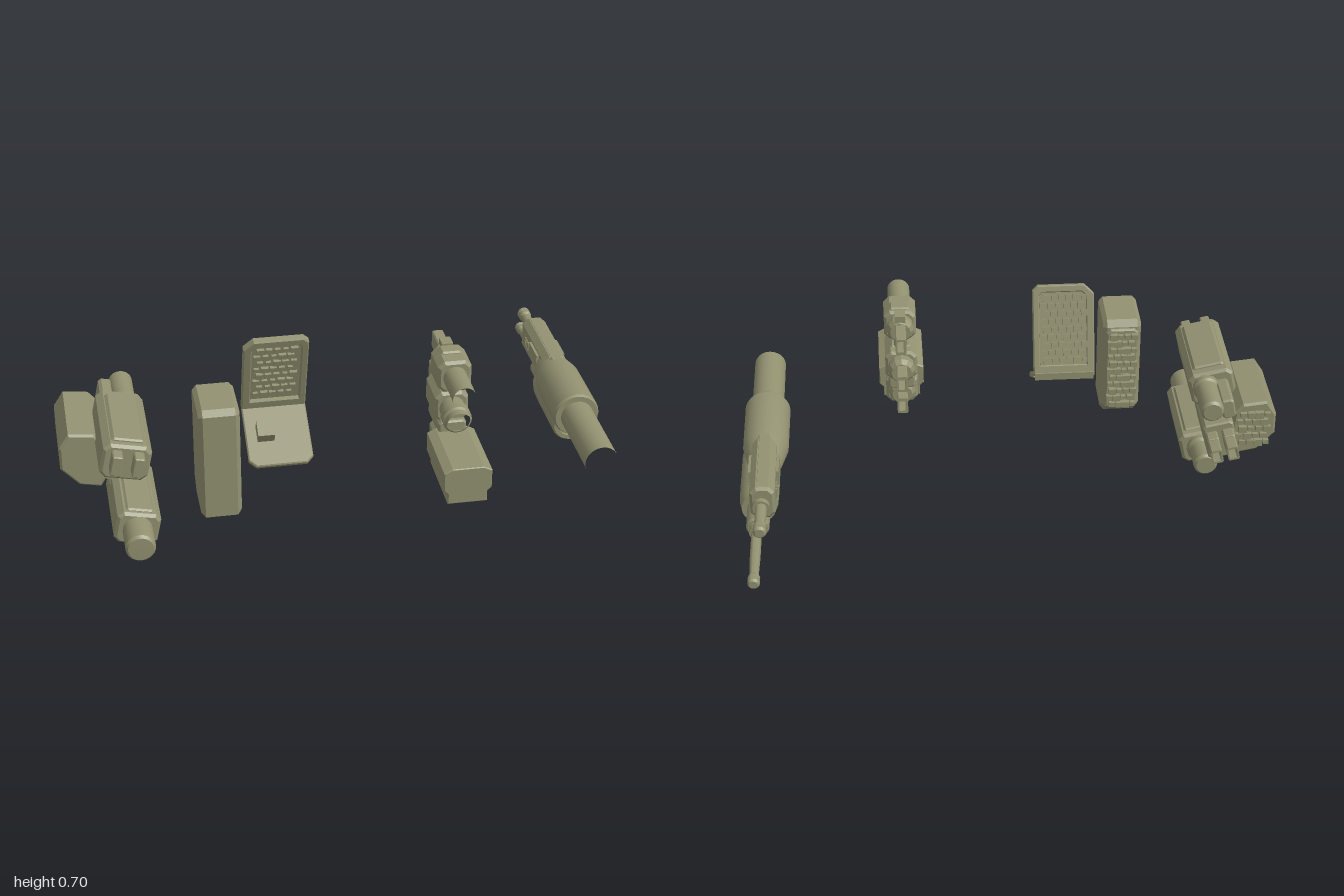
import * as THREE from 'three';
import { toCreasedNormals, mergeGeometries } from 'three/addons/utils/BufferGeometryUtils.js';

const olive = new THREE.MeshStandardMaterial({ color: 0x929171 });
olive.name = 'olive';

function add(parent, name, geo, x = 0, y = 0, z = 0) {
  const m = new THREE.Mesh(geo, olive);
  m.name = name;
  m.position.set(x, y, z);
  parent.add(m);
  return m;
}

function group(parent, name, x = 0, y = 0, z = 0) {
  const g = new THREE.Group();
  g.name = name;
  g.position.set(x, y, z);
  parent.add(g);
  return g;
}

// Turned part along z: profile pairs [radius, z] from back to front
function turned(profile, sides = 24) {
  const g = new THREE.LatheGeometry(profile.map(([r, z]) => new THREE.Vector2(r, z)), sides);
  g.rotateX(Math.PI / 2);
  return toCreasedNormals(g, 0.45);
}

// Polygon in x/y extruded from z0 to z1 with a small bevel
function prism(pts, z0, z1, b = 0.006, hole = null) {
  const s = new THREE.Shape(pts.map(p => new THREE.Vector2(...p)));
  if (hole) s.holes.push(new THREE.Path(hole.map(p => new THREE.Vector2(...p))));
  const g = new THREE.ExtrudeGeometry(s, {
    depth: z1 - z0 - 2 * b, bevelEnabled: b > 0, bevelThickness: b,
    bevelSize: b, bevelOffset: -b, bevelSegments: 1
  });
  return g.translate(0, 0, z0 + b);
}

// Rectangle with cut corners, centred on cx, cy
function cut(w, h, c, cx = 0, cy = 0) {
  const a = w / 2, b = h / 2;
  return [[-a + c, -b], [a - c, -b], [a, -b + c], [a, b - c], [a - c, b], [-a + c, b], [-a, b - c], [-a, -b + c]]
    .map(([x, y]) => [x + cx, y + cy]);
}

const block = (w, h, c, z0, z1, b) => prism(cut(w, h, c), z0, z1, b);

// Staggered rows of small studs of varied size on an x/y face
function studs(cols, rows, w, h, size, depth) {
  const parts = [];
  for (let i = 0; i < cols; i++) for (let j = 0; j < rows; j++) {
    const k = (i * 7 + j * 5) % 4;
    const s = size * (0.8 + 0.13 * k);
    const g = new THREE.BoxGeometry(s, s * 0.85, depth * (0.7 + 0.1 * k));
    const stagger = (j % 2 - 0.5) * w / cols * 0.4;
    parts.push(g.translate((i + 0.5 - cols / 2) * w / cols + stagger, (j + 0.5 - rows / 2) * h / rows, 0));
  }
  return mergeGeometries(parts);
}

// Muzzle with grooves, its tip at z = tip
function slimBarrel(parent, name, r, root, tip, x, y) {
  add(parent, name, turned([[0, tip], [r * 0.8, tip], [r * 1.15, tip + 0.008], [r * 1.15, tip + 0.016], [r * 0.8, tip + 0.02],
    [r * 1.15, tip + 0.024], [r * 1.15, tip + 0.04], [r * 0.85, tip + 0.05], [r, (root + tip) / 2], [r, root]], 16), x, y);
}

// Twin guns on the left end
function buildTwinGuns(model) {
  const g = group(model, 'twinGuns');
  const upper = group(g, 'upperGun', 0.895, 0.243);
  add(upper, 'rearTube', turned([[0.06, 0.24], [0.06, 0.57]]));
  add(upper, 'upperSleeve', turned([[0, -0.13], [0.055, -0.13], [0.065, -0.1], [0.084, -0.01], [0.085, 0.24], [0.08, 0.25], [0.06, 0.25]]));
  add(upper, 'receiver', block(0.09, 0.13, 0.022, -0.38, -0.05, 0.01), 0, 0.012);
  add(upper, 'receiverTop', block(0.05, 0.04, 0.008, -0.37, 0), 0, 0.058);
  add(upper, 'receiverBelly', block(0.07, 0.05, 0.01, -0.3, -0.08), 0, -0.035);
  add(upper, 'receiverCheek', new THREE.BoxGeometry(0.11, 0.055, 0.11), 0, 0.02, -0.18);
  for (let i = 0; i < 3; i++) add(upper, 'coolingRib', new THREE.BoxGeometry(0.1, 0.035, 0.011), 0, 0.008, -0.27 - i * 0.02);
  add(upper, 'barrelCollar', turned([[0, -0.4], [0.03, -0.4], [0.03, -0.37]], 16), 0.005, 0.007);
  slimBarrel(upper, 'upperBarrel', 0.021, -0.38, -0.55, 0.005, 0.007);

  const lower = group(g, 'lowerGun', 0.922, 0.12);
  add(lower, 'lowerSleeve', turned([[0, -0.34], [0.036, -0.34], [0.042, -0.332], [0.042, -0.22], [0.062, -0.22],
    [0.07, -0.18], [0.072, -0.12], [0.072, 0.1], [0.066, 0.11], [0.05, 0.11], [0.05, 0.08], [0, 0.08]]));
  add(lower, 'lowerCollar', turned([[0, -0.37], [0.027, -0.37], [0.027, -0.33]], 16), 0.003, 0);
  slimBarrel(lower, 'lowerBarrel', 0.019, -0.36, -0.67, 0.003, 0);
  add(g, 'gunBridge', new THREE.BoxGeometry(0.05, 0.05, 0.25), 0.91, 0.18, -0.02);
}

// Stack of three short launchers
function buildStack(model) {
  const g = group(model, 'launcherStack', 0.385, 0, 0);
  const unit = (name, y, front, mid, back, rear, tip, r) => {
    const u = group(g, name, 0, y, 0);
    if (front) add(u, 'tube', turned([[r, mid - 0.01], [r, front]]));
    add(u, 'housing', block(0.12, 0.12, 0.022, back, mid, 0.01));
    add(u, 'collar', turned([[0, rear], [0.038, rear], [0.05, rear + 0.02], [0.05, back + 0.01]], 12));
    add(u, 'nozzle', prism(cut(0.04, 0.065, 0.004), tip, rear + 0.02, 0, cut(0.026, 0.045, 0.003)));
    add(u, 'nozzleCore', new THREE.BoxGeometry(0.028, 0.047, 0.03), 0, 0, rear);
    return u;
  };
  const top = unit('topLauncher', 0.56, 0.58, 0.43, 0.3, 0.25, 0.145, 0.042);
  add(top, 'housingBand', block(0.112, 0.132, 0.025, 0.315, 0.37), 0, 0.002);
  add(top, 'housingFin', new THREE.BoxGeometry(0.04, 0.1, 0.05), 0, 0.015, 0.28);
  const mid = unit('middleLauncher', 0.42, 0.52, 0.4, 0.24, 0.19, 0.11, 0.045);
  add(mid, 'housingBand', block(0.115, 0.13, 0.025, 0.28, 0.34));
  add(mid, 'tubeRing', turned([[0.045, 0.44], [0.052, 0.445], [0.052, 0.485], [0.045, 0.49]]));
  unit('lowLauncher', 0.275, 0, 0.4, 0.31, 0.27, 0.19, 0.04);
  // Faceted magazine
  add(g, 'magazine', prism([[-0.07, 0.195], [0.07, 0.195], [0.07, 0.235], [0.085, 0.25], [0.085, 0.32], [0.055, 0.335],
    [-0.055, 0.335], [-0.085, 0.32], [-0.085, 0.25], [-0.07, 0.235]], 0.39, 0.67, 0.003));
  add(g, 'lowerLink', block(0.1, 0.06, 0.01, 0.25, 0.42), 0, 0.345);
  add(g, 'upperLink', block(0.05, 0.08, 0.008, 0.28, 0.38), 0, 0.49);
}

// Bent panel with studded faces
function buildPanel(model) {
  const g = group(model, 'bentPanel', -0.225, 0.38, 0.205);
  const outline = [[-0.115, 0], [0.115, 0], [0.115, 0.325], [0.095, 0.345], [-0.08, 0.345], [-0.115, 0.31]];
  const recess = [[-0.085, 0.04], [0.09, 0.04], [0.09, 0.305], [0.08, 0.318], [-0.07, 0.318], [-0.085, 0.3]];
  const tall = group(g, 'tallPlate');
  tall.rotation.x = 0.31;
  add(tall, 'plateFrame', prism(outline, -0.012, 0.016, 0.004, recess));
  add(tall, 'plateWeb', prism(recess, -0.011, 0.002, 0));
  add(tall, 'frontStuds', studs(5, 8, 0.15, 0.25, 0.022, 0.016), 0, 0.18, 0.006);
  add(tall, 'backStuds', studs(6, 9, 0.17, 0.27, 0.022, 0.026), 0, 0.18, -0.018);
  const low = group(g, 'footPlate');
  low.rotation.x = 2.115;
  add(low, 'footSlab', prism([[-0.115, 0], [0.115, 0], [0.115, 0.22], [0.09, 0.245], [-0.09, 0.245], [-0.115, 0.22]], -0.01, 0.01, 0.004));
  add(low, 'footBox', new THREE.BoxGeometry(0.06, 0.06, 0.05), -0.045, 0.12, -0.03);
  add(g, 'hinge', new THREE.BoxGeometry(0.22, 0.028, 0.028));
}

// Tall box with a studded back
function buildTallBox(model) {
  const g = group(model, 'tallBox', -0.452, 0.335, 0);
  // Side profile, swept across the width; its lower back edge is cut away
  const side = prism([[-0.505, -0.21], [-0.345, -0.21], [-0.29, -0.16], [-0.29, 0.19], [-0.31, 0.215], [-0.485, 0.215], [-0.505, 0.195]],
    -0.072, 0.072, 0.015);
  add(g, 'boxBody', side.rotateY(Math.PI / 2));
  add(g, 'backPad', block(0.12, 0.35, 0.015, 0.277, 0.3), 0, 0.012);
  add(g, 'backStuds', studs(4, 11, 0.105, 0.33, 0.023, 0.026), 0, 0.012, 0.27);
}

// Tilted cluster of pods on the right end
function buildPodCluster(model) {
  const tilt = -0.21;
  const c = group(model, 'podCluster');

  const top = group(c, 'upperPod', -0.775, 0.363);
  top.rotation.z = tilt;
  add(top, 'upperBody', block(0.17, 0.135, 0.022, 0.1, 0.48, 0.01));
  add(top, 'upperRidge', block(0.13, 0.155, 0.015, 0.14, 0.45));
  for (const x of [-0.038, 0.038]) {
    add(top, 'frontProng', block(0.036, 0.075, 0.004, 0.46, 0.53, 0.003), x, 0.012);
  }
  add(top, 'rearTube', turned([[0, -0.08], [0.034, -0.08], [0.043, -0.07], [0.043, 0.07], [0.05, 0.08], [0.05, 0.11]], 16), 0.025, 0.012);
  add(top, 'rearCover', block(0.05, 0.08, 0.01, -0.05, 0.11), -0.035, -0.01);

  const low = group(c, 'lowerPod', -0.747, 0.086);
  low.rotation.z = tilt;
  add(low, 'lowerBody', block(0.155, 0.125, 0.02, 0.12, 0.48, 0.01));
  add(low, 'lowerKeel', block(0.11, 0.14, 0.012, 0.15, 0.46));
  add(low, 'frontDrum', turned([[0.053, 0.47], [0.053, 0.593], [0.045, 0.603], [0, 0.605]]));
  add(low, 'rearDrum', turned([[0, -0.01], [0.036, -0.01], [0.045, 0], [0.045, 0.09], [0.055, 0.1], [0.055, 0.13]], 16));

  // Outer six-sided pod with a studded back
  const outer = group(c, 'outerPod');
  add(outer, 'outerBody', prism([[-0.995, 0.235], [-0.93, 0.165], [-0.855, 0.15], [-0.825, 0.2], [-0.84, 0.33], [-0.87, 0.365],
    [-0.96, 0.375], [-0.995, 0.32]], -0.03, 0.285, 0.008));
  add(outer, 'outerStuds', studs(4, 5, 0.12, 0.15, 0.026, 0.026), -0.91, 0.265, -0.035);

  // Central hub joining the pods
  const hub = group(c, 'hub', -0.79, 0.225);
  hub.rotation.z = tilt;
  add(hub, 'hubBody', block(0.115, 0.15, 0.012, -0.05, 0.24));
  add(hub, 'hubStuds', studs(4, 5, 0.105, 0.14, 0.024, 0.024), 0, 0, 0.245);
  for (const x of [-0.03, 0.03]) {
    add(hub, 'rearProng', prism(cut(0.042, 0.055, 0.005), -0.17, -0.08, 0, cut(0.03, 0.04, 0.004)), x, 0.015);
    add(hub, 'prongBase', block(0.044, 0.065, 0.006, -0.1, -0.04, 0.003), x, 0.015);
  }
  add(hub, 'lowerNeck', block(0.07, 0.07, 0.01, 0.05, 0.22), 0.02, -0.09);
}

export function createModel() {
  const model = new THREE.Group();
  model.name = 'equipmentSet';
  buildTwinGuns(model);
  buildStack(model);
  buildPanel(model);
  buildTallBox(model);
  buildPodCluster(model);
  return model;
}
